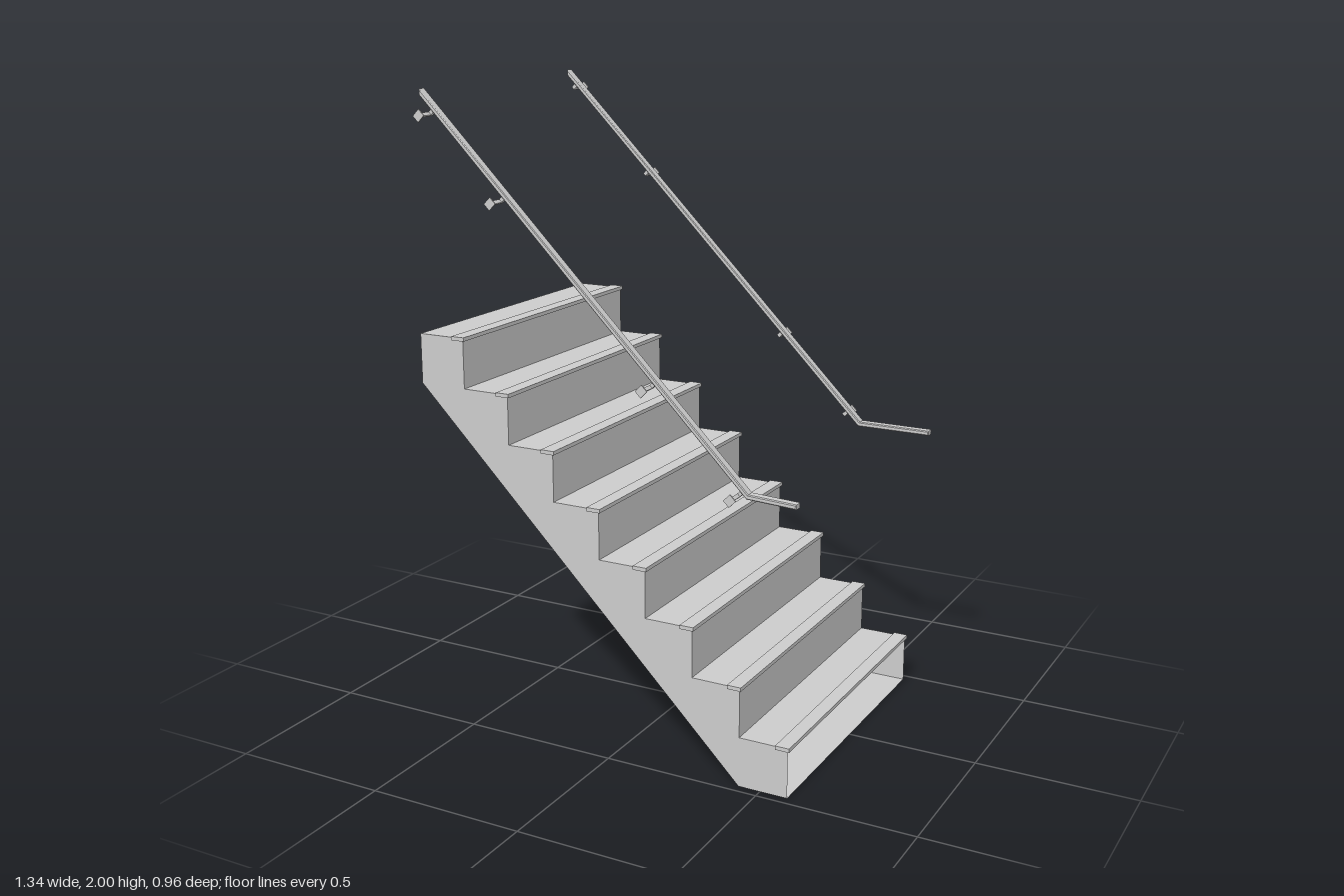
import * as THREE from 'three';

const STEPS = 8, RUN = 0.157, RISE = 0.157, FRONT = 0.588, HALF = 0.472;
const BACK = FRONT - STEPS * RUN;
const TOE = 0.43, HEEL = 1.1; // ends of the sloping underside

const solid = new THREE.MeshStandardMaterial({ color: 0xcccccc, flatShading: true });
const sheet = new THREE.MeshStandardMaterial({ color: 0xcccccc, flatShading: true, side: THREE.DoubleSide });

function add(parent, name, geometry, material = solid) {
  const mesh = new THREE.Mesh(geometry, material);
  mesh.name = name;
  parent.add(mesh);
  return mesh;
}

// Full-width sheet spanning two points of the side profile
function panel(parent, name, x1, y1, x2, y2) {
  const g = new THREE.PlaneGeometry(Math.hypot(x2 - x1, y2 - y1), HALF * 2);
  g.rotateX(-Math.PI / 2);
  g.rotateZ(Math.atan2(y2 - y1, x2 - x1));
  g.translate((x1 + x2) / 2, (y1 + y2) / 2, 0);
  add(parent, name, g, sheet);
}

function buildStairs() {
  const stairs = new THREE.Group();
  stairs.name = 'stairs';

  // Sawtooth side walls
  const outline = new THREE.Shape();
  outline.moveTo(TOE, 0);
  outline.lineTo(FRONT, 0);
  for (let k = 1; k <= STEPS; k++) {
    const x = FRONT - (k - 1) * RUN;
    outline.lineTo(x, k * RISE);
    outline.lineTo(x - RUN, k * RISE);
  }
  outline.lineTo(BACK, HEEL);
  for (const s of [1, -1]) {
    add(stairs, s > 0 ? 'leftStringer' : 'rightStringer', new THREE.ShapeGeometry(outline), sheet).position.z = s * HALF;
  }

  // Treads, risers and nosings; the lowest step is open at the front
  for (let k = 1; k <= STEPS; k++) {
    const x = FRONT - (k - 1) * RUN, y = k * RISE;
    panel(stairs, 'tread', x - RUN, y, x, y);
    if (k > 1) panel(stairs, 'riser', x, y - RISE, x, y);
    const nosing = add(stairs, 'nosing', new THREE.BoxGeometry(0.045, 0.012, 0.954));
    nosing.position.set(x - 0.0165, y - 0.002, 0);
  }

  // Base and sloping underside
  panel(stairs, 'base', TOE, 0, FRONT, 0);
  panel(stairs, 'underside', BACK, HEEL, TOE, 0);
  return stairs;
}

// side: +1 left, -1 right; flare: outward drift of the level end
function buildHandrail({ side, z, kneeY, endX, flare, brackets }) {
  const rail = new THREE.Group();
  rail.name = side > 0 ? 'leftHandrail' : 'rightHandrail';
  const t = 0.0045, b = 0.003, topX = -0.669, topY = kneeY + TOE - topX;

  // Sloping bar with a level lower end
  const k = t * Math.tan(Math.PI / 8), v = t * Math.SQRT2;
  const profile = new THREE.Shape([
    [topX + b, topY - v - b], [TOE - k, kneeY - t], [endX - b, kneeY - t],
    [endX - b, kneeY + t], [TOE + k, kneeY + t], [topX + b, topY + v - b],
  ].map(([x, y]) => new THREE.Vector2(x, y)));
  const g = new THREE.ExtrudeGeometry(profile, {
    depth: 0.024, bevelEnabled: true, bevelSize: b, bevelThickness: b, bevelSegments: 1,
  });
  g.translate(0, 0, z - 0.012);
  const p = g.attributes.position;
  for (let i = 0; i < p.count; i++) {
    p.setZ(i, p.getZ(i) + side * flare * Math.max(0, p.getX(i) - TOE));
  }
  g.computeVertexNormals();
  add(rail, 'bar', g);

  // Wall brackets, square to the slope
  const wall = side * 0.476, reach = Math.abs(wall - z);
  for (const x of brackets) {
    const bracket = new THREE.Group();
    bracket.name = 'bracket';
    bracket.position.set(x, kneeY + TOE - x, 0);
    bracket.rotation.z = -Math.PI / 4;
    add(bracket, 'post', new THREE.BoxGeometry(0.012, 0.024, 0.012)).position.set(0, -0.014, z);
    add(bracket, 'arm', new THREE.BoxGeometry(0.012, 0.006, reach)).position.set(0, -0.025, (z + wall) / 2);
    add(bracket, 'wallPlate', new THREE.BoxGeometry(0.026, 0.03, 0.004)).position.set(0, -0.027, wall);
    rail.add(bracket);
  }
  return rail;
}

export function createModel() {
  const model = new THREE.Group();
  model.name = 'staircase';
  model.add(
    buildStairs(),
    buildHandrail({ side: 1, z: 0.419, kneeY: 0.886, endX: 0.592, flare: 0.12, brackets: [-0.62, -0.375, 0.13, 0.415] }),
    buildHandrail({ side: -1, z: -0.411, kneeY: 0.898, endX: 0.67, flare: 0, brackets: [-0.633, -0.355, 0.15, 0.39] }),
  );
  return model;
}
